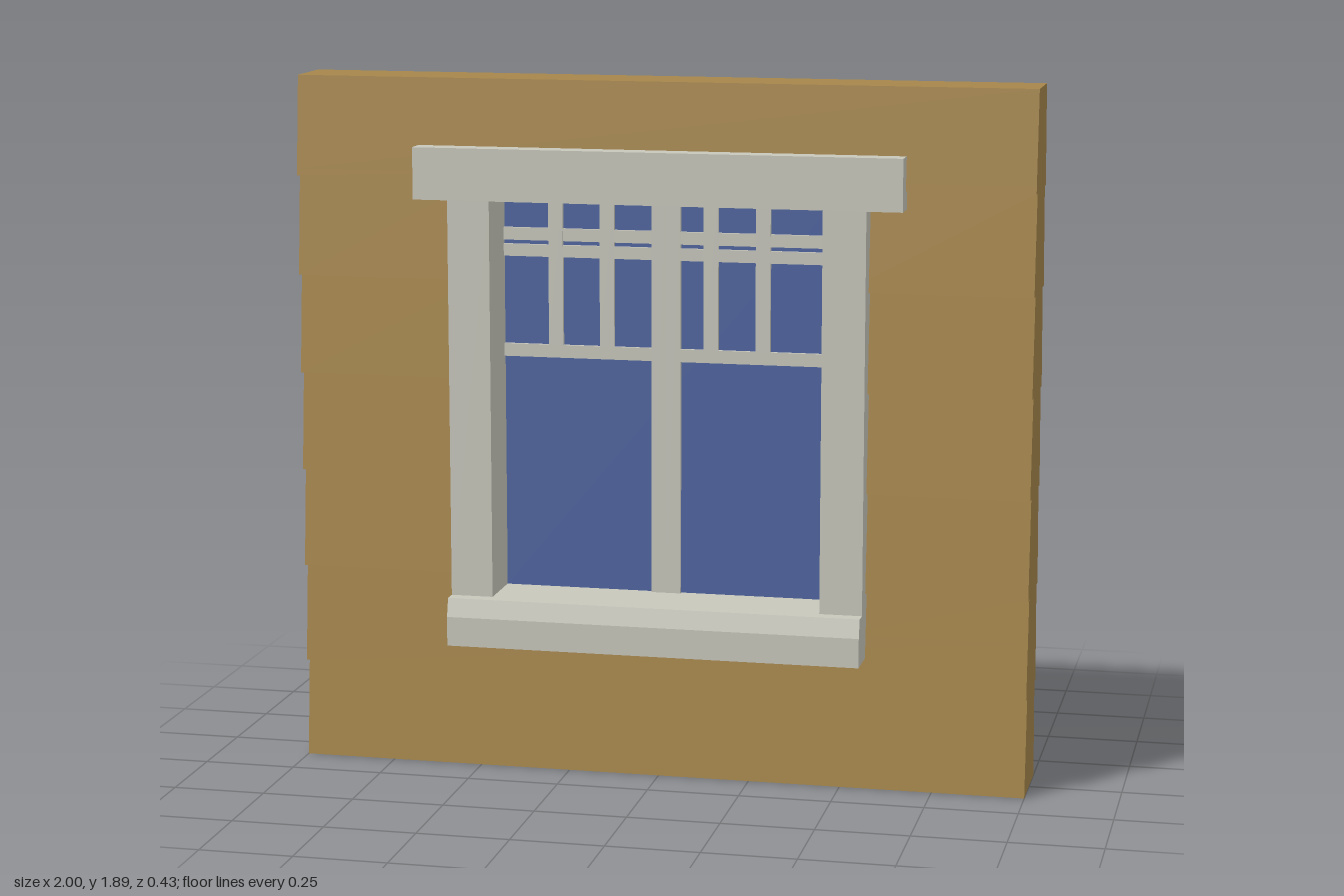
import * as THREE from 'three';

const material = (color) => new THREE.MeshStandardMaterial({ color, flatShading: true });

export function createModel() {
  const model = new THREE.Group();
  model.name = 'wallWithWindow';
  const wood = material(0xa6864a);
  const trim = material(0xc8c7bc);
  const blue = material(0x4f65a0);

  const add = (parent, name, geometry, mat) => {
    const mesh = new THREE.Mesh(geometry, mat);
    mesh.name = name;
    parent.add(mesh);
    return mesh;
  };

  // Box given by its x and y limits and half its depth
  const box = (parent, name, x0, x1, y0, y1, halfDepth, mat = trim) => {
    const mesh = add(parent, name, new THREE.BoxGeometry(x1 - x0, y1 - y0, 2 * halfDepth), mat);
    mesh.position.set((x0 + x1) / 2, (y0 + y1) / 2, 0);
    return mesh;
  };

  // Profile of [halfDepth, y] points, mirrored front to back and swept along x
  const sweep = (parent, name, profile, x0, x1, mat) => {
    const points = [
      ...profile.map(([z, y]) => new THREE.Vector2(z, y)),
      ...profile.slice().reverse().map(([z, y]) => new THREE.Vector2(-z, y)),
    ];
    const geometry = new THREE.ExtrudeGeometry(new THREE.Shape(points), { depth: x1 - x0, bevelEnabled: false });
    geometry.rotateY(-Math.PI / 2).translate(x1, 0, 0);
    return add(parent, name, geometry, mat);
  };

  // Clapboard wall: each board is thicker at its lower edge
  const height = 1.89, rows = 7, board = height / rows;
  const wall = new THREE.Group();
  wall.name = 'wall';
  model.add(wall);
  const siding = (name, x0, x1, y0, y1) => {
    const profile = [];
    for (let i = 0; i < rows; i++) {
      const low = Math.max(y0, i * board);
      const high = Math.min(y1, (i + 1) * board);
      if (high <= low) continue;
      for (const y of [low, high]) profile.push([0.112 - 0.025 * (y / board - i), y]);
    }
    sweep(wall, name, profile, x0, x1, wood);
  };
  siding('sidingBelow', -1, 1, 0, 0.42);
  siding('sidingRight', -1, -0.5, 0.42, 1.64);
  siding('sidingLeft', 0.5, 1, 0.42, 1.64);
  siding('sidingAbove', -1, 1, 1.64, height);

  // Casing running through the wall, with header and bevelled sill
  const casing = new THREE.Group();
  casing.name = 'casing';
  model.add(casing);
  box(casing, 'rightJamb', -0.565, -0.45, 0.49, 1.57, 0.163);
  box(casing, 'leftJamb', 0.45, 0.565, 0.49, 1.57, 0.163);
  box(casing, 'header', -0.66, 0.66, 1.57, 1.71, 0.163);
  sweep(casing, 'sill', [[0.213, 0.36], [0.213, 0.44], [0.2, 0.49]], -0.565, 0.565, trim);

  // Pane and glazing bars
  const sash = new THREE.Group();
  sash.name = 'sash';
  model.add(sash);
  box(sash, 'glass', -0.45, 0.45, 0.49, 1.57, 0.004, blue);
  for (const side of [-1, 1]) {
    box(sash, 'centreStile', Math.min(0, side * 0.04), Math.max(0, side * 0.04), 0.49, 1.57, 0.016);
    const x0 = side < 0 ? -0.45 : 0.04;
    for (const [y0, y1] of [[1.13, 1.165], [1.405, 1.438], [1.449, 1.483]]) {
      box(sash, 'rail', x0, x0 + 0.41, y0, y1, 0.014);
    }
  }
  for (const x of [-0.305, -0.163, 0.123, 0.265]) {
    box(sash, 'muntin', x - 0.02, x + 0.02, 1.165, 1.57, 0.015);
  }
  return model;
}
